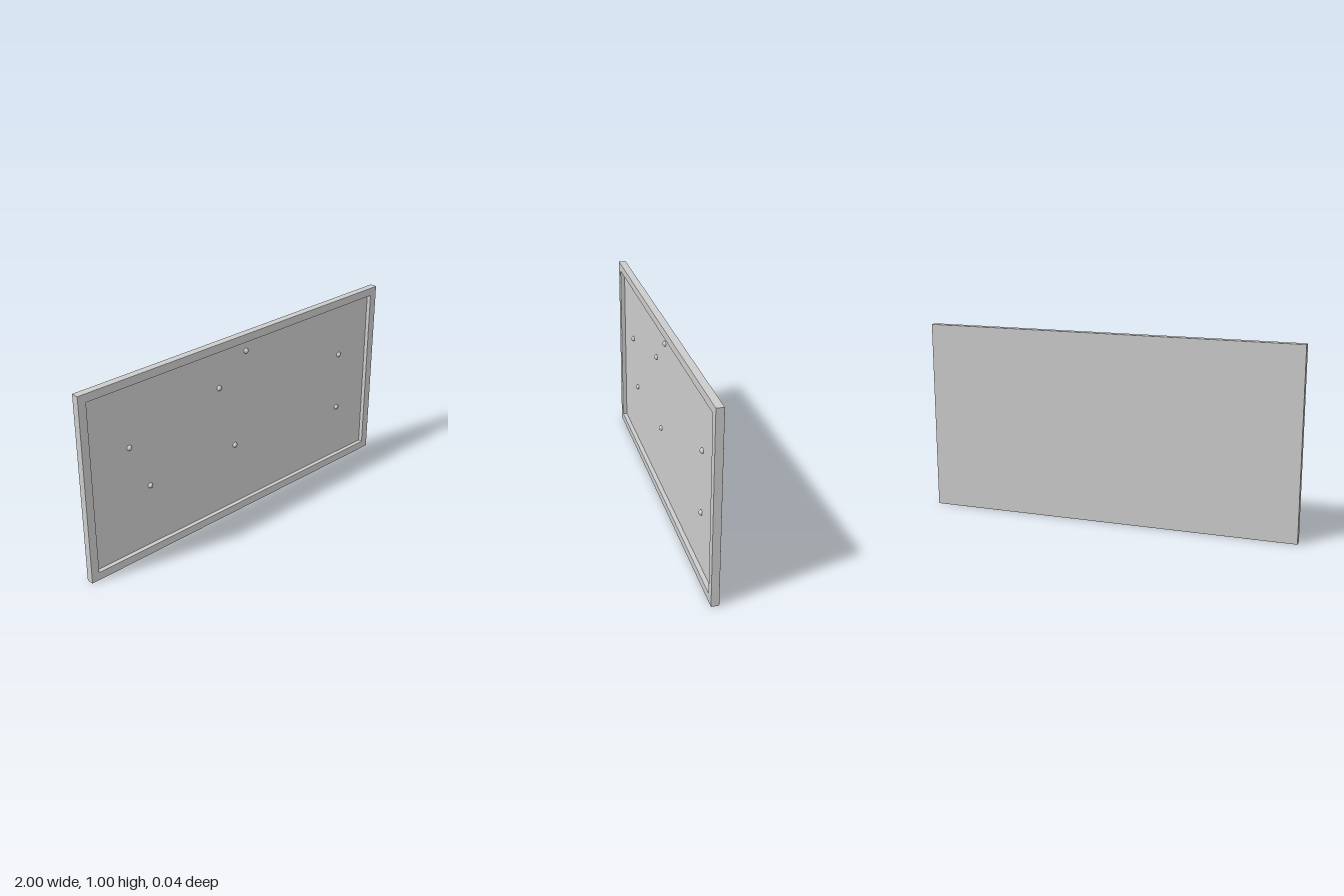
import * as THREE from 'three';

const W = 2, H = 1.005, D = 0.04; // overall board size
const RIM = 0.044;                // width of the raised frame
const BEVEL = 0.002;
const PANEL_Z = -0.003;           // front of the recessed panel
const PIN_R = 0.014;

function rectangle(target, halfW, halfH) {
  target.moveTo(-halfW, -halfH);
  target.lineTo(halfW, -halfH);
  target.lineTo(halfW, halfH);
  target.lineTo(-halfW, halfH);
  target.closePath();
  return target;
}

export function createModel() {
  const group = new THREE.Group();
  group.name = 'pinBoard';
  const material = new THREE.MeshStandardMaterial({ color: 0xcccccc });

  const add = (name, geometry, x, y, z) => {
    const mesh = new THREE.Mesh(geometry, material);
    mesh.name = name;
    mesh.position.set(x, y, z);
    group.add(mesh);
  };

  // Frame: one rectangular ring with softened edges
  const outline = rectangle(new THREE.Shape(), W / 2, H / 2);
  outline.holes.push(rectangle(new THREE.Path(), W / 2 - RIM, H / 2 - RIM));
  const frame = new THREE.ExtrudeGeometry(outline, {
    depth: D - 2 * BEVEL,
    bevelThickness: BEVEL,
    bevelSize: BEVEL,
    bevelOffset: -BEVEL,
    bevelSegments: 2,
  });
  add('frame', frame, 0, H / 2, -D / 2 + BEVEL);

  // Panel: closes the back and forms the floor of the recess
  const back = -D / 2 - 0.0002;
  const panel = new THREE.BoxGeometry(W - 2 * BEVEL, H - 2 * BEVEL, PANEL_Z - back);
  add('panel', panel, 0, H / 2, (PANEL_Z + back) / 2);

  // Round pins, half sunk in the panel
  const pinGeometry = new THREE.SphereGeometry(PIN_R, 24, 16);
  const pins = [
    [-0.72, 0.633], [-0.607, 0.38], [-0.15, 0.755], [0.033, 0.903],
    [-0.045, 0.393], [0.737, 0.667], [0.737, 0.342],
  ];
  pins.forEach(([x, y], i) => add(`pin${i + 1}`, pinGeometry, x, y, PANEL_Z));

  return group;
}
